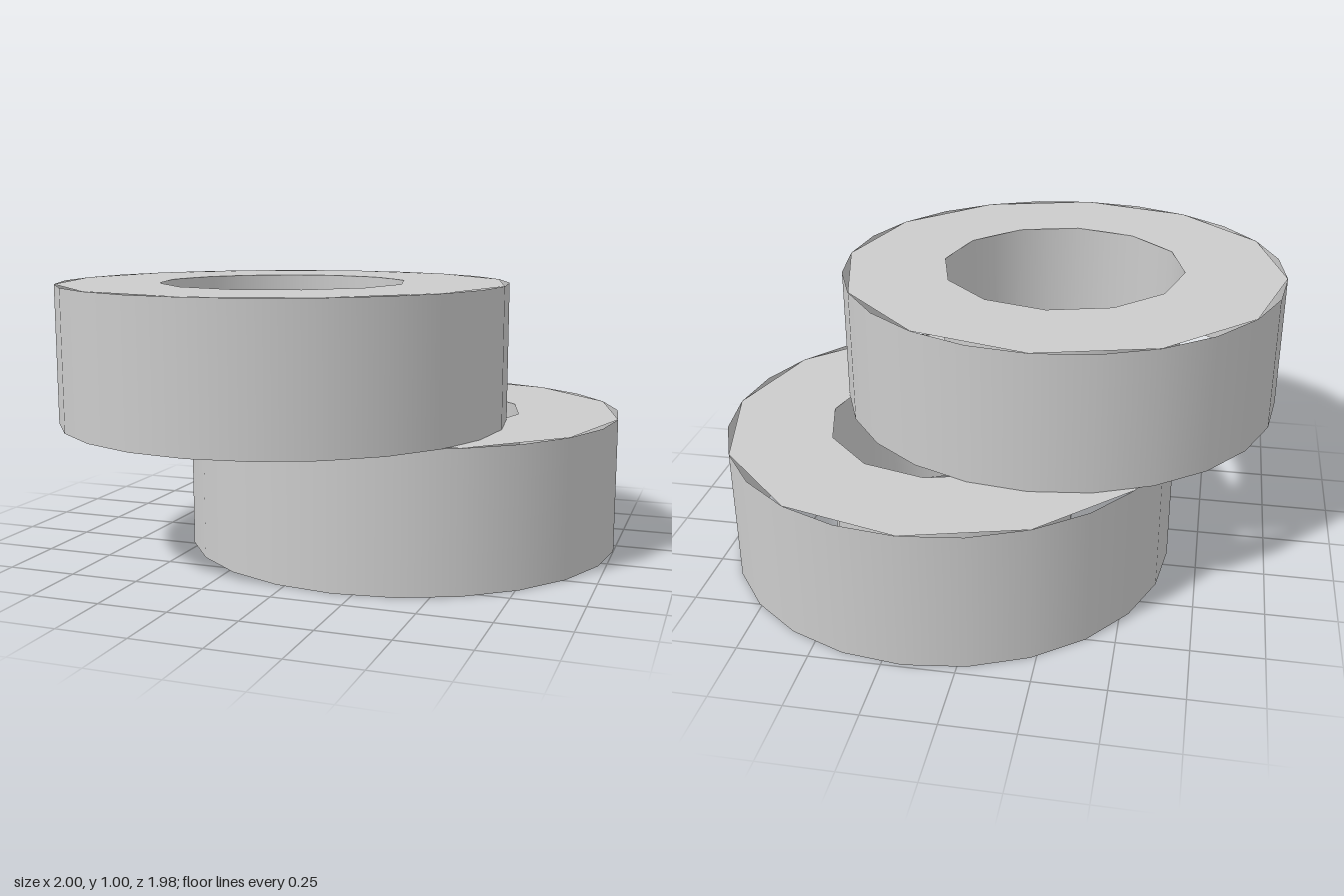
import * as THREE from 'three';

const OUTER = 0.82, INNER = 0.45, HEIGHT = 0.5;

export function createModel() {
  const material = new THREE.MeshStandardMaterial({ color: 0xcccccc, side: THREE.DoubleSide });

  const addPart = (group, name, geometry, y) => {
    const mesh = new THREE.Mesh(geometry, material);
    mesh.name = name;
    mesh.position.y = y;
    group.add(mesh);
  };

  // Hollow ring: two open walls under a coarser flat lid, no floor
  const makeRing = (name, x, y, z) => {
    const ring = new THREE.Group();
    ring.name = name;
    ring.position.set(x, y, z);
    const wall = (r) => new THREE.CylinderGeometry(r, r, HEIGHT, 24, 1, true);
    addPart(ring, 'outerWall', wall(OUTER), HEIGHT / 2);
    addPart(ring, 'innerWall', wall(INNER), HEIGHT / 2);
    addPart(ring, 'lid', new THREE.RingGeometry(INNER, OUTER, 12).rotateX(-Math.PI / 2), HEIGHT);
    return ring;
  };

  const model = new THREE.Group();
  model.name = 'stackedRings';
  model.add(
    makeRing('lowerRing', 0.18, 0, -0.17),
    makeRing('upperRing', -0.18, HEIGHT, 0.17),
  );
  return model;
}
